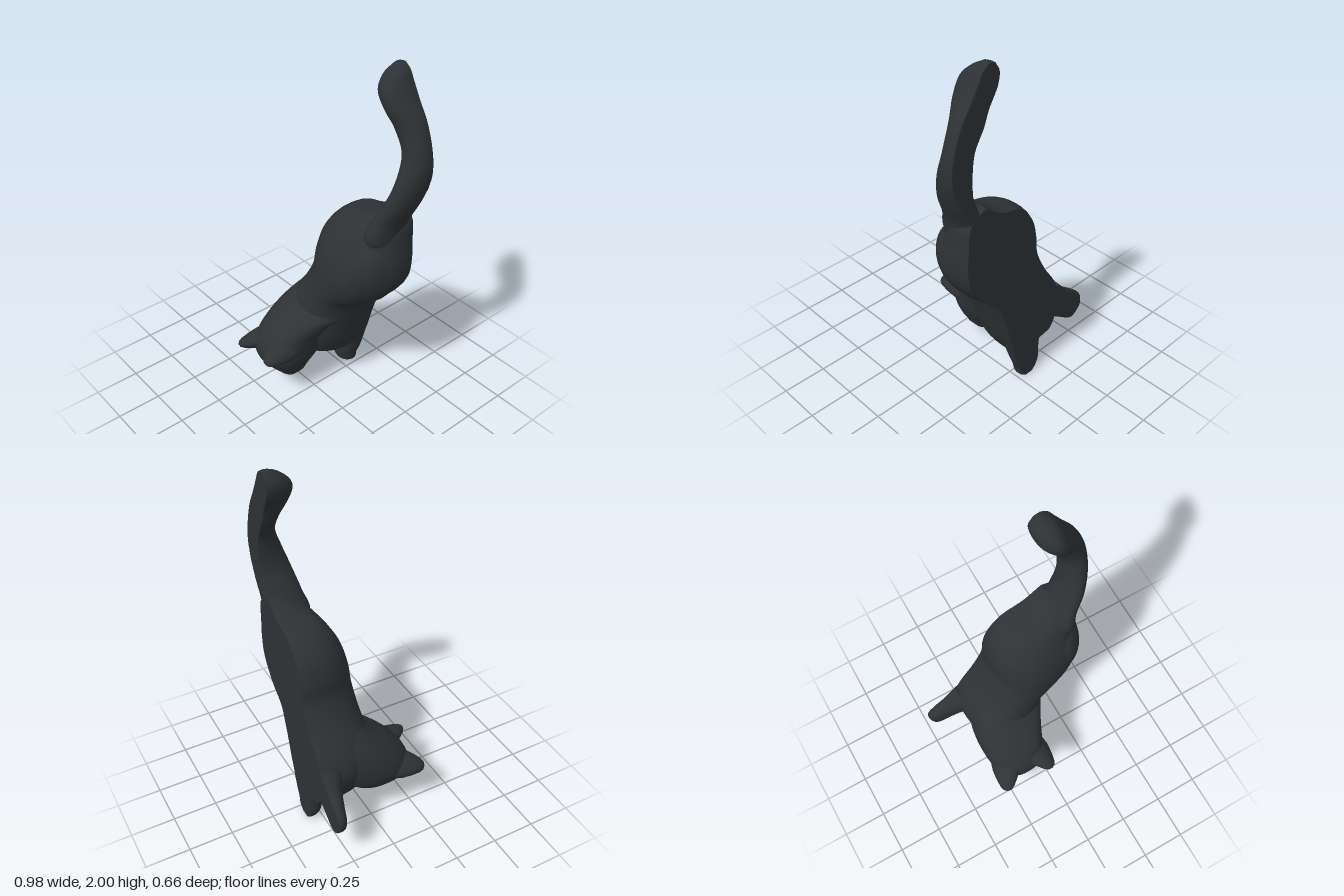
import * as THREE from 'three';
import { toCreasedNormals } from 'three/addons/utils/BufferGeometryUtils.js';

const WALL = -0.33; // flat back plane the climbing cat is pressed against
const fur = new THREE.MeshStandardMaterial({ color: 0x2e3235, roughness: 0.9 });

// Flatten everything behind the wall plane and keep its rim crisp
function finish(geo, name) {
  const p = geo.attributes.position;
  for (let i = 0; i < p.count; i++) p.setZ(i, Math.max(p.getZ(i), WALL));
  const mesh = new THREE.Mesh(toCreasedNormals(geo, 0.9), fur);
  mesh.name = name;
  return mesh;
}

// Smooth loft, stations listed downwards; power below 1 makes the rings boxier:
// [leftX, leftY, rightX, rightY, frontZ, backZ (optional), front tilt (optional)]
function loft(name, stations, power = 1, rows = 56, sides = 44) {
  const a = [], b = [], c = [];
  for (const [lx, ly, rx, ry, zf, zb, tilt = 0] of stations) {
    const mid = WALL + 0.3 * (zf - WALL);
    a.push(new THREE.Vector3(lx, ly, 0));
    b.push(new THREE.Vector3(rx, ry, 0));
    c.push(new THREE.Vector3(zf, zb ?? 2 * mid - zf, tilt));
  }
  const [L, R, D] = [a, b, c].map(v => new THREE.CatmullRomCurve3(v, false, 'catmullrom', 0.5));
  const pos = [], index = [];
  const centre = t => L.getPoint(t).add(R.getPoint(t)).multiplyScalar(0.5);
  const bend = v => Math.sign(v) * Math.abs(v) ** power;
  for (let i = 0; i <= rows; i++) {
    const t = i / rows, m = centre(t), d = D.getPoint(t);
    const half = R.getPoint(t).sub(m);
    for (let j = 0; j < sides; j++) {
      const u = (j / sides) * Math.PI * 2, cu = bend(Math.cos(u)), su = bend(Math.sin(u));
      pos.push(m.x + half.x * cu, m.y + half.y * cu + d.z * su,
        (d.x + d.y) / 2 + su * (d.x - d.y) / 2);
      if (i < rows) {
        const p = i * sides + j, q = i * sides + (j + 1) % sides;
        index.push(p, q, p + sides, q, q + sides, p + sides);
      }
    }
  }
  // End caps
  for (const [t, row] of [[0, 0], [1, rows]]) {
    const m = centre(t), d = D.getPoint(t), k = pos.length / 3;
    pos.push(m.x, m.y, (d.x + d.y) / 2);
    for (let j = 0; j < sides; j++) {
      const p = row * sides + j, q = row * sides + (j + 1) % sides;
      if (row) index.push(k, p, q); else index.push(k, q, p);
    }
  }
  const geo = new THREE.BufferGeometry();
  geo.setAttribute('position', new THREE.Float32BufferAttribute(pos, 3));
  geo.setIndex(index);
  return finish(geo, name);
}

// Soft muscle or muzzle bulge
function bulge(name, [x, y, z], [rx, ry, rz], roll) {
  const geo = new THREE.SphereGeometry(1, 40, 28);
  geo.scale(rx, ry, rz).rotateZ(roll).translate(x, y, z);
  return finish(geo, name);
}

// Flattened, round-tipped ear running from its base to its tip
function ear(name, base, tip) {
  const from = new THREE.Vector3(...base), dir = new THREE.Vector3(...tip).sub(from);
  const h = dir.length();
  const profile = [[0.092, 0], [0.084, 0.3], [0.064, 0.6], [0.042, 0.85], [0.024, 0.96], [0, 1]]
    .map(([r, y]) => new THREE.Vector2(r, y * h));
  const geo = new THREE.LatheGeometry(profile, 28);
  geo.scale(1, 1, 0.68);
  geo.applyQuaternion(new THREE.Quaternion().setFromUnitVectors(new THREE.Vector3(0, 1, 0), dir.normalize()));
  geo.translate(...base);
  return finish(geo, name);
}

export function createModel() {
  const cat = new THREE.Group();
  cat.name = 'climbingCat';

  cat.add(loft('body', [
    [0.27, 1.27, 0.33, 1.25, -0.25],
    [0.16, 1.20, 0.385, 1.19, -0.14],
    [0.02, 1.16, 0.40, 1.07, -0.07],
    [-0.07, 1.06, 0.41, 0.95, -0.01],
    [-0.105, 0.94, 0.39, 0.83, 0.02],
    [-0.115, 0.83, 0.30, 0.71, 0.025],
    [-0.18, 0.69, 0.20, 0.63, 0.028],
    [-0.26, 0.57, 0.155, 0.52, 0.045],
    [-0.305, 0.46, 0.12, 0.40, 0.06],
    [-0.30, 0.36, 0.09, 0.30, 0.045],
    [-0.25, 0.245, 0.04, 0.21, -0.02],
    [-0.17, 0.22, -0.05, 0.20, -0.18],
  ], 0.9));

  // Haunch bulging out of the flank
  cat.add(bulge('leftThigh', [0.25, 0.905, -0.19], [0.148, 0.225, 0.185], -0.2));

  // Tail, its root lifting slightly off the wall
  cat.add(loft('tail', [
    [0.22, 1.99, 0.26, 1.997, -0.28],
    [0.19, 1.94, 0.30, 1.97, -0.22],
    [0.20, 1.87, 0.33, 1.92, -0.17],
    [0.25, 1.78, 0.375, 1.84, -0.175],
    [0.28, 1.70, 0.435, 1.74, -0.21],
    [0.335, 1.60, 0.48, 1.60, -0.215],
    [0.35, 1.50, 0.485, 1.47, -0.18],
    [0.335, 1.38, 0.45, 1.33, -0.14, -0.36],
    [0.28, 1.26, 0.395, 1.20, -0.11, -0.34],
    [0.22, 1.14, 0.375, 1.09, -0.085, -0.34],
    [0.19, 1.02, 0.34, 0.97, -0.17, -0.34],
  ]));

  // Forelegs with rounded paws
  cat.add(loft('rightForeleg', [
    [-0.29, 0.52, -0.12, 0.38, -0.15],
    [-0.36, 0.44, -0.25, 0.30, -0.22],
    [-0.43, 0.39, -0.34, 0.24, -0.25],
    [-0.485, 0.335, -0.385, 0.21, -0.265],
    [-0.49, 0.27, -0.42, 0.205, -0.28],
    [-0.47, 0.24, -0.45, 0.22, -0.31],
  ]));
  cat.add(loft('leftForeleg', [
    [-0.16, 0.42, 0.12, 0.42, -0.15],
    [-0.16, 0.28, 0.08, 0.28, -0.20],
    [-0.15, 0.16, 0.04, 0.15, -0.235],
    [-0.15, 0.08, 0.01, 0.08, -0.235],
    [-0.13, 0.03, -0.002, 0.03, -0.25],
    [-0.10, 0.00, -0.04, 0.00, -0.29],
  ]));

  // Neck and head, face turned downwards
  cat.add(loft('head', [
    [-0.14, 0.70, 0.13, 0.65, -0.06, -0.33, 0],
    [-0.25, 0.56, 0.13, 0.52, 0.045, -0.32, 0.02],
    [-0.30, 0.45, 0.085, 0.46, 0.14, -0.27, 0.03],
    [-0.315, 0.35, 0.045, 0.39, 0.23, -0.21, 0.025],
    [-0.305, 0.28, 0.03, 0.33, 0.266, -0.15, 0.01],
    [-0.265, 0.215, 0.02, 0.26, 0.255, -0.09, 0],
    [-0.21, 0.155, -0.005, 0.185, 0.205, -0.01, 0],
    [-0.165, 0.11, -0.035, 0.13, 0.15, 0.015, 0],
    [-0.13, 0.09, -0.06, 0.10, 0.11, 0.045, 0],
  ], 0.8));
  cat.add(bulge('muzzle', [-0.105, 0.14, 0.11], [0.08, 0.045, 0.055], 0.2));
  cat.add(ear('leftEar', [-0.06, 0.345, 0.15], [-0.012, 0.335, 0.33]));
  cat.add(ear('rightEar', [-0.225, 0.315, 0.15], [-0.3, 0.28, 0.31]));

  return cat;
}
